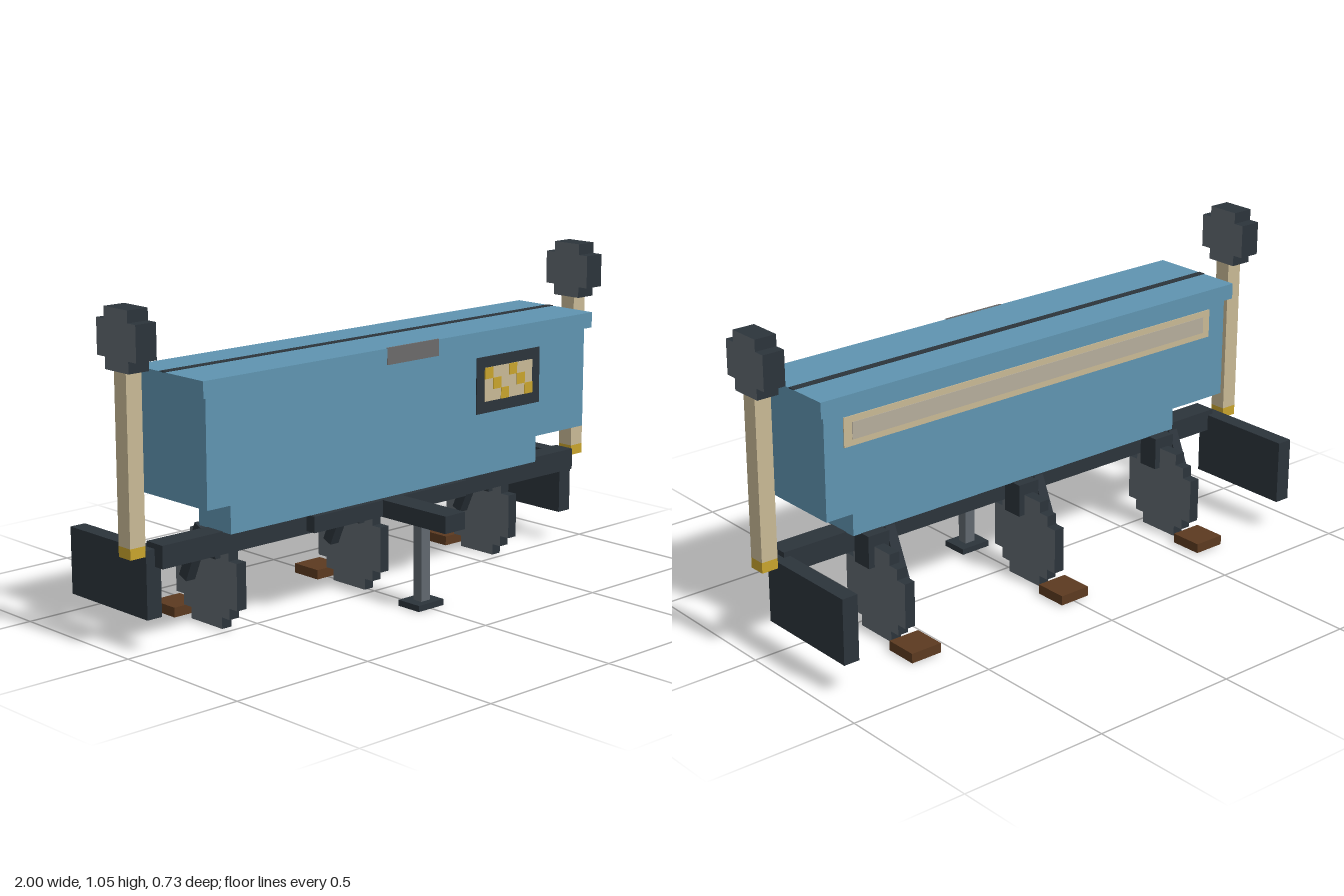
import * as THREE from 'three';

const mat = (name, color) => Object.assign(new THREE.MeshStandardMaterial({ color }), { name });

export function createModel() {
  const blue = mat('hopper blue', 0x5f94b1);
  const dark = mat('dark iron', 0x2c343b);
  const steel = mat('steel grey', 0x60686f);
  const tan = mat('pale wood', 0xc8b995);
  const yellow = mat('grain yellow', 0xc8a42d);
  const brown = mat('wood brown', 0x5c3a20);
  const latchGrey = mat('latch grey', 0x6b6a6a);
  const rail = mat('weathered wood', 0xb5ad9c);

  const model = new THREE.Group();
  model.name = 'seedDrill';

  // Box given by its low and high limits on each axis
  const box = (name, material, [x0, x1], [y0, y1], [z0, z1], parent = model) => {
    const mesh = new THREE.Mesh(new THREE.BoxGeometry(x1 - x0, y1 - y0, z1 - z0), material);
    mesh.position.set((x0 + x1) / 2, (y0 + y1) / 2, (z0 + z1) / 2);
    mesh.name = name;
    parent.add(mesh);
    return mesh;
  };

  // Stepped wheel facing x, from one quarter of its outline
  const steppedDisc = (name, quarter, width, x, y, z, parent = model) => {
    const back = [...quarter].reverse();
    const outline = [
      ...quarter,
      ...back.map(([a, b]) => [-a, b]),
      ...quarter.map(([a, b]) => [-a, -b]),
      ...back.map(([a, b]) => [a, -b]),
    ].map(([a, b]) => new THREE.Vector2(a, b));
    const geo = new THREE.ExtrudeGeometry(new THREE.Shape(outline), { depth: width, bevelEnabled: false });
    geo.translate(0, 0, -width / 2).rotateY(-Math.PI / 2);
    const mesh = new THREE.Mesh(geo, [steel, dark]);
    mesh.position.set(x, y, z);
    mesh.name = name;
    parent.add(mesh);
  };

  // Hopper and lid
  box('hopperBody', blue, [-0.82, 0.82], [0.45, 0.79], [-0.14, 0.16]);
  box('hopperBase', blue, [-0.67, 0.67], [0.335, 0.45], [-0.065, 0.085]);
  box('lid', blue, [-0.84, 0.84], [0.788, 0.84], [-0.158, 0.176]);
  box('lidSeam', dark, [-0.84, 0.84], [0.838, 0.842], [-0.025, 0]);
  box('lidLatch', latchGrey, [-0.112, 0.112], [0.788, 0.842], [0.172, 0.178]);

  // Rear rail panel
  box('rearPanel', tan, [-0.75, 0.75], [0.67, 0.765], [-0.143, -0.138]);
  box('rearRail', rail, [-0.72, 0.72], [0.69, 0.745], [-0.145, -0.141]);

  // Grain window with diagonal seeds
  box('windowFrame', dark, [0.3, 0.597], [0.566, 0.752], [0.158, 0.163]);
  box('windowPane', tan, [0.336, 0.56], [0.604, 0.716], [0.16, 0.165]);
  const cell = 0.0373;
  for (let row = 0; row < 3; row++) {
    for (const col of [row, row + 3]) {
      const x = 0.336 + col * cell;
      const y = 0.716 - row * cell;
      box('seed', yellow, [x, x + cell], [y - cell, y], [0.163, 0.167]);
    }
  }

  // Frame, hitch and parking stand
  box('frameBeam', dark, [-0.9, 0.9], [0.265, 0.337], [-0.028, 0.047]);
  box('hitchCrossbar', dark, [-0.335, 0.335], [0.275, 0.328], [0.04, 0.085]);
  box('hitchTongue', dark, [-0.043, 0.043], [0.273, 0.329], [0.08, 0.365]);
  box('standPost', steel, [-0.019, 0.019], [0.018, 0.275], [0.2, 0.236]);
  box('standFoot', dark, [-0.055, 0.055], [0, 0.02], [0.17, 0.262]);

  // End plates and row markers on both sides
  for (const side of [-1, 1]) {
    const end = new THREE.Group();
    end.name = side < 0 ? 'rightEnd' : 'leftEnd';
    const span = (a, b) => (side < 0 ? [-b, -a] : [a, b]);
    box('endPlate', dark, span(0.878, 0.932), [0.106, 0.32], [-0.365, 0.01], end);
    box('markerFoot', yellow, span(0.934, 0.99), [0.302, 0.336], [-0.045, 0.011], end);
    box('markerPost', tan, span(0.934, 0.99), [0.336, 0.87], [-0.045, 0.011], end);
    steppedDisc('markerDisc', [[0.0925, 0.0555], [0.0555, 0.0555], [0.0555, 0.0925]],
      0.074, side * 0.963, 0.954, -0.018, end);
    model.add(end);
  }

  // Coulter rows: disc, clamp, slanted arm and press block
  for (const x of [-0.6, 0, 0.6]) {
    const row = new THREE.Group();
    row.name = 'coulterRow';
    row.position.x = x;
    steppedDisc('coulterDisc',
      [[0.148, 0.075], [0.111, 0.075], [0.111, 0.111], [0.075, 0.111], [0.075, 0.148]],
      0.037, 0, 0.15, -0.101, row);
    box('clamp', dark, [-0.04, 0.04], [0.228, 0.336], [-0.1, -0.028], row);
    const arm = box('arm', dark, [-0.074, -0.038], [0.142, 0.342], [-0.125, -0.088], row);
    arm.rotation.x = 0.42;
    box('pressBlock', brown, [-0.055, 0.055], [0.003, 0.035], [-0.327, -0.215], row);
    model.add(row);
  }

  return model;
}
